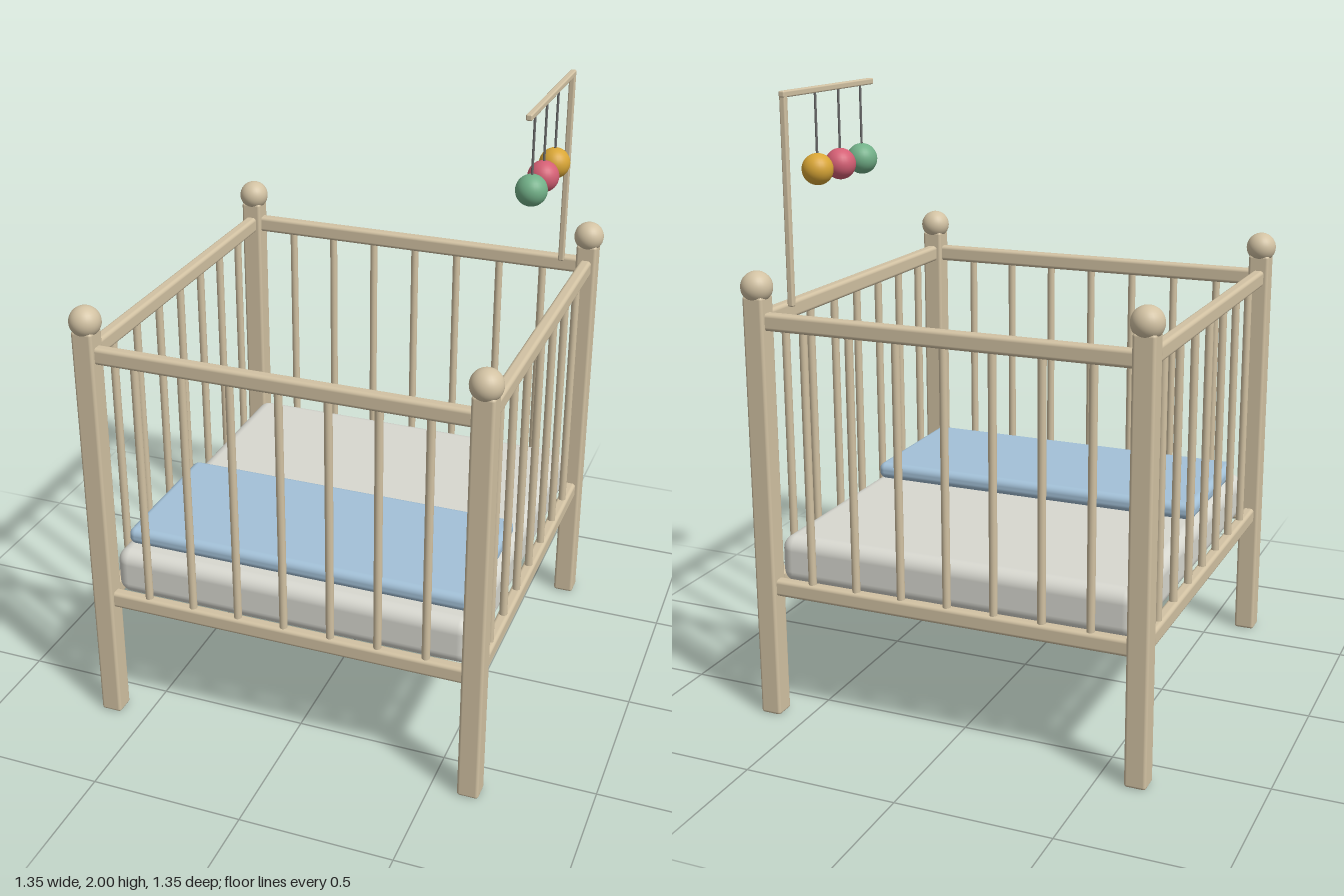
import * as THREE from 'three';
import { RoundedBoxGeometry } from 'three/addons/geometries/RoundedBoxGeometry.js';

const colour = (name, color) => {
  const m = new THREE.MeshStandardMaterial({ color });
  m.name = name;
  return m;
};

export function createModel() {
  const wood = colour('pale wood', 0xd2c2a3);
  const sheet = colour('mattress grey', 0xd8d8d0);
  const blue = colour('blanket blue', 0xa3c1d8);
  const cord = colour('cord grey', 0x6b6b6b);
  const green = colour('ball green', 0x72b088);
  const red = colour('ball red', 0xd45f74);
  const yellow = colour('ball yellow', 0xd9a636);

  const model = new THREE.Group();
  model.name = 'crib';

  const add = (parent, name, geometry, material, x, y, z) => {
    const mesh = new THREE.Mesh(geometry, material);
    mesh.name = name;
    mesh.position.set(x, y, z);
    parent.add(mesh);
    return mesh;
  };
  const box = (w, h, d, r, segments = 3) => new RoundedBoxGeometry(w, h, d, segments, r);

  const half = 0.625; // post centre distance from the middle

  // Corner posts with ball finials
  const postGeo = box(0.07, 1.39, 0.07, 0.01);
  const finialGeo = new THREE.SphereGeometry(0.05, 28, 18);
  for (const sx of [-1, 1]) {
    for (const sz of [-1, 1]) {
      add(model, 'post', postGeo, wood, sx * half, 0.695, sz * half);
      add(model, 'finial', finialGeo, wood, sx * half, 1.415, sz * half);
    }
  }

  // Four identical railed sides
  const railGeo = box(1.23, 0.055, 0.04, 0.012);
  const barGeo = new THREE.CylinderGeometry(0.013, 0.013, 0.85, 14);
  for (let side = 0; side < 4; side++) {
    const panel = new THREE.Group();
    panel.name = 'sidePanel';
    panel.rotation.y = side * Math.PI / 2;
    add(panel, 'topRail', railGeo, wood, 0, 1.31, half);
    add(panel, 'bottomRail', railGeo, wood, 0, 0.44, half);
    for (let i = -3; i <= 3; i++) {
      add(panel, 'bar', barGeo, wood, i * 0.15625, 0.875, half);
    }
    model.add(panel);
  }

  // Bedding
  add(model, 'mattress', box(1.205, 0.16, 1.205, 0.045, 5), sheet, 0, 0.52, 0);
  add(model, 'blanket', box(1.16, 0.057, 0.51, 0.024, 5), blue, 0, 0.627, 0.29);

  // Hanging mobile
  const mobile = new THREE.Group();
  mobile.name = 'mobile';
  mobile.position.x = 0.55;
  add(mobile, 'pole', box(0.02, 0.655, 0.02, 0.005), wood, 0, 1.6725, -0.55);
  add(mobile, 'arm', box(0.02, 0.02, 0.565, 0.005), wood, 0, 1.99, -0.2795);
  const cordGeo = new THREE.CylinderGeometry(0.004, 0.004, 0.21, 8);
  const ballGeo = new THREE.SphereGeometry(0.05, 28, 18);
  [green, red, yellow].forEach((material, i) => {
    const z = -0.073 - i * 0.145;
    add(mobile, 'cord', cordGeo, cord, 0, 1.88, z);
    add(mobile, 'hangingBall', ballGeo, material, 0, 1.745, z);
  });
  model.add(mobile);

  return model;
}
